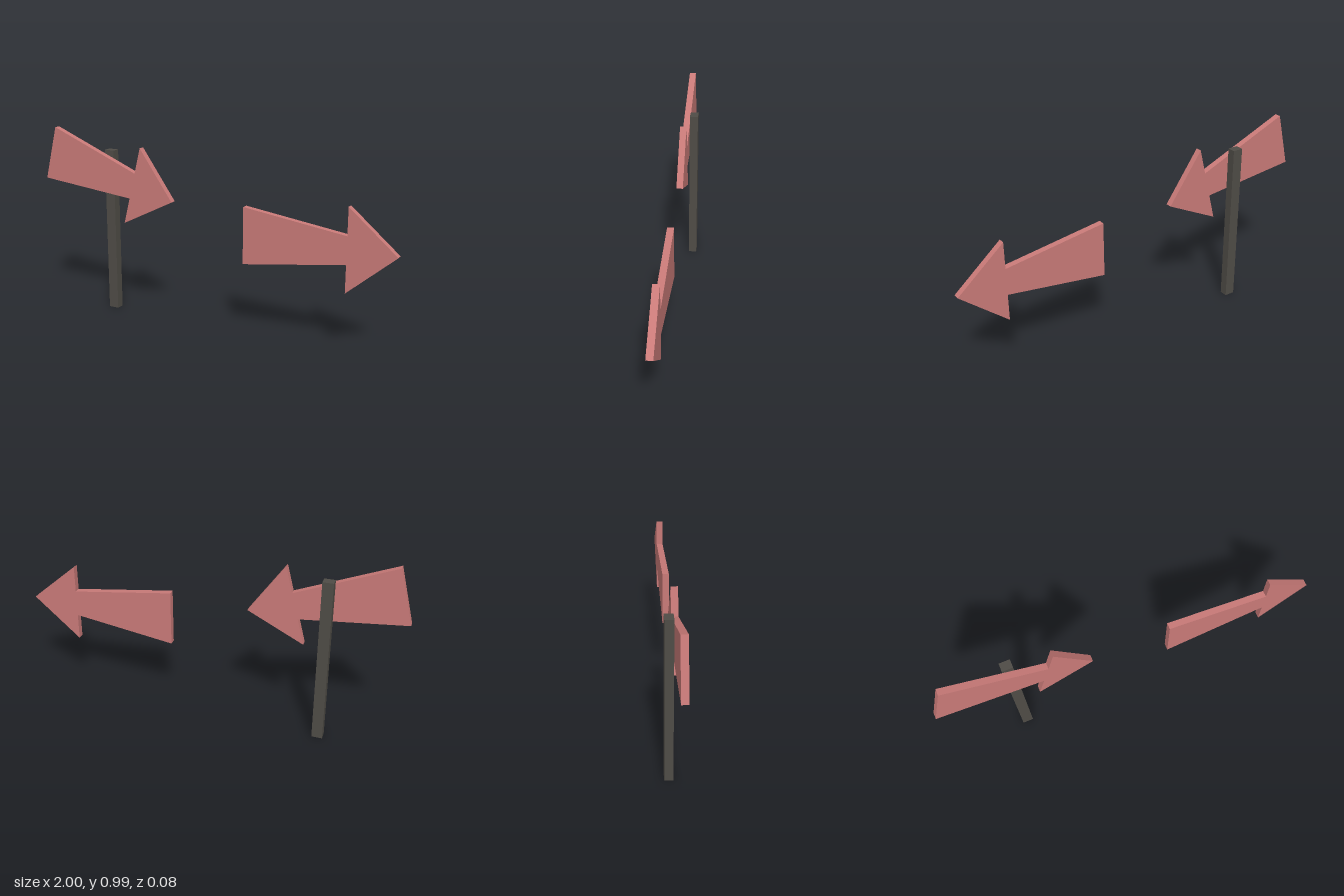
import * as THREE from 'three';

const red = new THREE.MeshStandardMaterial({ color: 0xc97a78 });
const dark = new THREE.MeshStandardMaterial({ color: 0x4f4c46 });

// Flat arrow with a tapering tail; its tip is at the origin, pointing along +x
function makeArrow(name, x, y, angle) {
  const upper = [[-0.79, 0.148], [-0.248, 0.071], [-0.248, 0.213], [0, 0]];
  const lower = upper.slice(0, 3).reverse().map(([px, py]) => [px, -py]);
  const shape = new THREE.Shape([...upper, ...lower].map(([px, py]) => new THREE.Vector2(px, py)));
  const geometry = new THREE.ExtrudeGeometry(shape, { depth: 0.034, bevelEnabled: false });
  const arrow = new THREE.Mesh(geometry, red);
  arrow.name = name;
  arrow.position.set(x, y, 0.005);
  arrow.rotation.z = angle;
  return arrow;
}

export function createModel() {
  const group = new THREE.Group();
  group.name = 'arrowSigns';

  // Square post behind the tilted arrow
  const post = new THREE.Mesh(new THREE.BoxGeometry(0.056, 0.89, 0.044), dark);
  post.name = 'post';
  post.position.set(-0.605, 0.445, -0.017);
  group.add(post);

  // Tilted sign on the post, and a level loose one beside it
  group.add(makeArrow('postArrow', -0.202, 0.656, THREE.MathUtils.degToRad(-14.3)));
  group.add(makeArrow('looseArrow', 1, 0.533, 0));
  return group;
}
